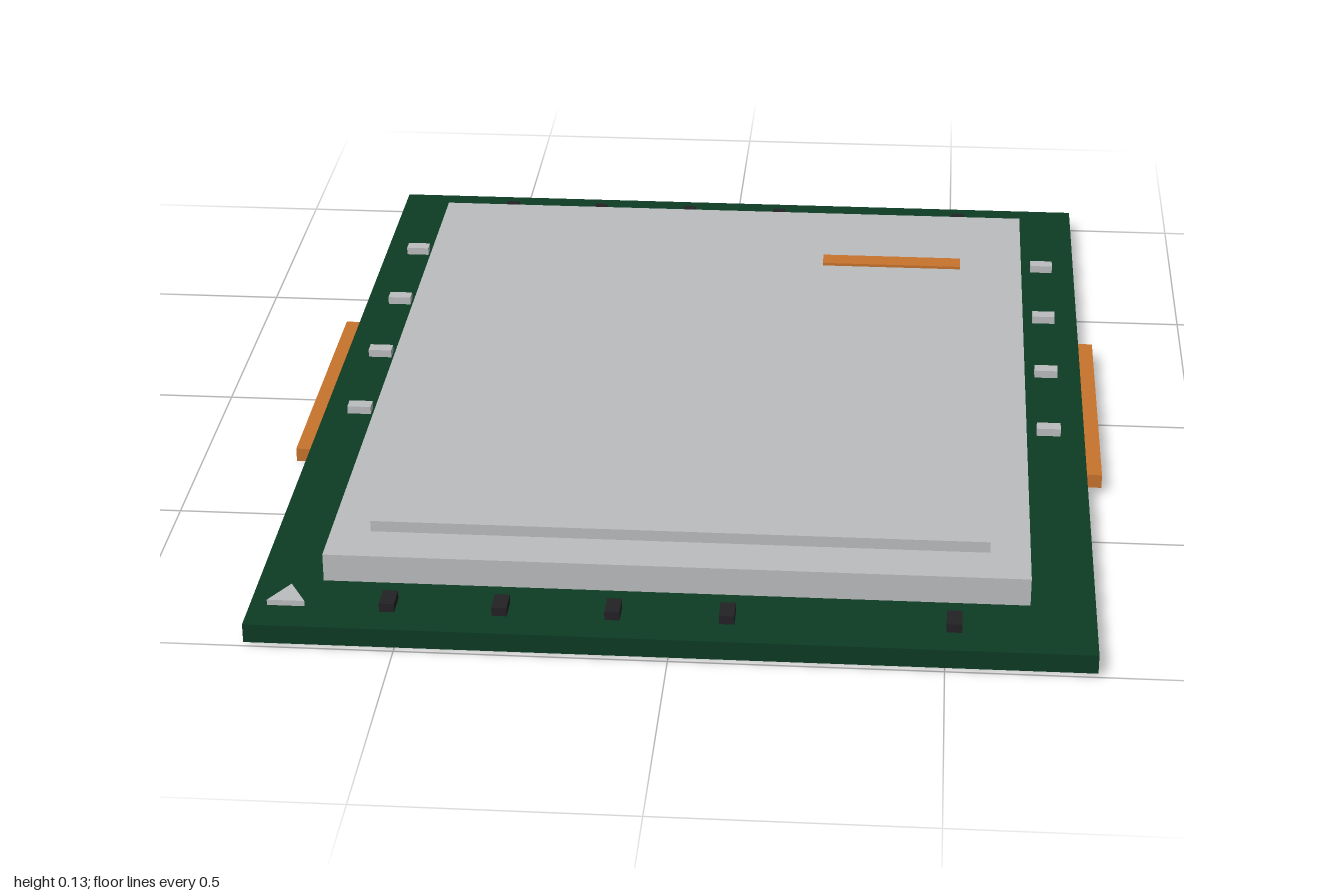
import * as THREE from 'three';

export function createModel() {
  const group = new THREE.Group();
  const mat = (name, color) => {
    const m = new THREE.MeshStandardMaterial({ color });
    m.name = name;
    return m;
  };
  const green = mat('boardGreen', 0x0d3b24);
  const silver = mat('metalSilver', 0xbcbec0);
  const copper = mat('copper', 0xc8742c);
  const black = mat('componentBlack', 0x232125);

  // Box given by its size in x and z, its bottom and top, and its centre
  const box = (name, material, w, d, y0, y1, x = 0, z = 0) => {
    const mesh = new THREE.Mesh(new THREE.BoxGeometry(w, y1 - y0, d), material);
    mesh.name = name;
    mesh.position.set(x, (y0 + y1) / 2, z);
    group.add(mesh);
  };

  const top = 0.045;
  box('contactPad', silver, 1.44, 1.85, 0, 0.009);
  box('board', green, 1.55, 2, 0.008, top);

  // Stepped metal lid with its copper mark
  box('lidBase', silver, 1.31, 1.66, top, 0.1);
  box('lidTop', silver, 1.16, 1.47, 0.1, 0.122);
  box('lidMark', copper, 0.3, 0.045, 0.122, 0.128, 0.37, -0.513);

  for (const side of [-1, 1]) {
    // Copper edge tabs
    box('edgeTab', copper, 0.03, 0.6, 0.013, 0.041, side * 0.79, 0);
    // Silver capacitors along the long edges
    for (const z of [-0.67, -0.403, -0.136, 0.131])
      box('capacitor', silver, 0.048, 0.028, top, 0.061, side * 0.703, z);
    // Black components along the short edges
    for (const x of [-0.52, -0.313, -0.106, 0.103, 0.516])
      box('chipComponent', black, 0.028, 0.05, top, 0.062, x, side * 0.912);
  }

  // Triangular corner marker, pointing to the back
  const tri = new THREE.Shape([
    new THREE.Vector2(-0.035, -0.03),
    new THREE.Vector2(0.035, -0.03),
    new THREE.Vector2(0, 0.032),
  ]);
  const marker = new THREE.Mesh(
    new THREE.ExtrudeGeometry(tri, { depth: 0.011, bevelEnabled: false }), silver);
  marker.name = 'cornerMarker';
  marker.rotation.x = -Math.PI / 2;
  marker.position.set(-0.708, top, 0.897);
  group.add(marker);

  return group;
}
